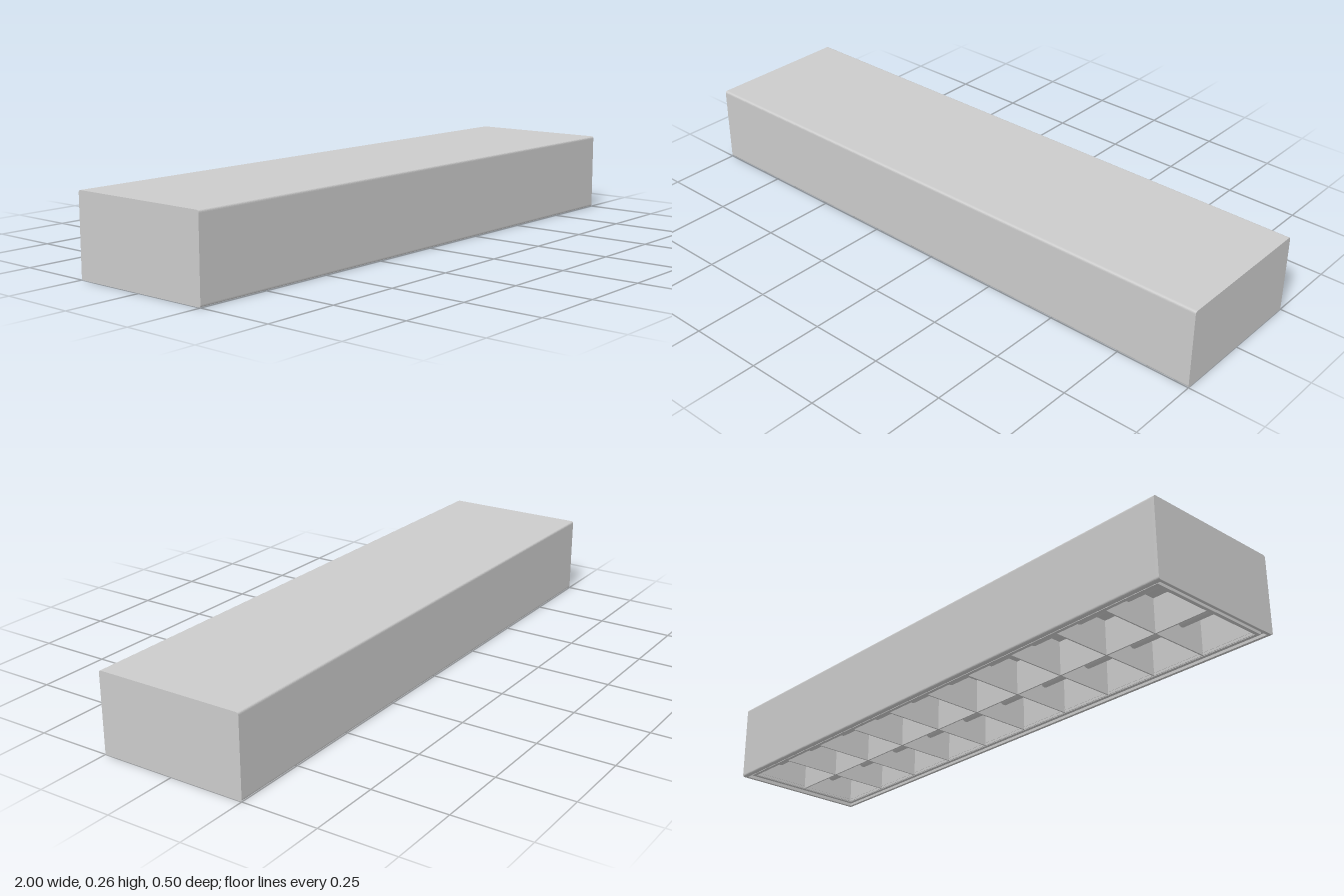
import * as THREE from 'three';

const L = 2, W = 0.5, H = 0.265;
const mat = new THREE.MeshStandardMaterial({ color: 0xcccccc, side: THREE.DoubleSide });

function add(parent, name, geometry, x = 0, y = 0, z = 0) {
  const mesh = new THREE.Mesh(geometry, mat);
  mesh.name = name;
  mesh.position.set(x, y, z);
  parent.add(mesh);
  return mesh;
}

const box = (parent, name, w, h, d, x, y, z) =>
  add(parent, name, new THREE.BoxGeometry(w, h, d), x, y, z);

// Housing section with rounded corners; the open version is a channel with small bottom lips
function section(open) {
  const a = W / 2, r = 0.008, t = 0.008, lip = 0.015;
  const s = new THREE.Shape();
  s.moveTo(open ? -a + lip : 0, 0);
  s.lineTo(-a + r, 0);
  s.quadraticCurveTo(-a, 0, -a, r);
  s.lineTo(-a, H - r);
  s.quadraticCurveTo(-a, H, -a + r, H);
  s.lineTo(a - r, H);
  s.quadraticCurveTo(a, H, a, H - r);
  s.lineTo(a, r);
  s.quadraticCurveTo(a, 0, a - r, 0);
  if (open) {
    s.lineTo(a - lip, 0);
    s.lineTo(a - lip, t);
    s.lineTo(a - t, t);
    s.lineTo(a - t, H - t);
    s.lineTo(-a + t, H - t);
    s.lineTo(-a + t, t);
    s.lineTo(-a + lip, t);
  }
  s.closePath();
  return s;
}

// Extrudes a section along x, centred on the origin
function alongX(shape, length) {
  const g = new THREE.ExtrudeGeometry(shape, { depth: length, bevelEnabled: false, curveSegments: 5 });
  return g.translate(0, 0, -length / 2).rotateY(Math.PI / 2);
}

// Flat rectangular ring lying in the xz plane, from y = 0 upward
function ring(x, z, border, height) {
  const rect = (Type, hx, hz) => new Type([
    new THREE.Vector2(-hx, -hz), new THREE.Vector2(hx, -hz),
    new THREE.Vector2(hx, hz), new THREE.Vector2(-hx, hz),
  ]);
  const s = rect(THREE.Shape, x, z);
  s.holes.push(rect(THREE.Path, x - border, z - border));
  return new THREE.ExtrudeGeometry(s, { depth: height, bevelEnabled: false })
    .rotateX(-Math.PI / 2);
}

export function createModel() {
  const model = new THREE.Group();
  model.name = 'louvreCeilingLight';

  // Housing: channel and end plates
  const housing = new THREE.Group();
  housing.name = 'housing';
  model.add(housing);
  const plate = 0.01;
  add(housing, 'housingShell', alongX(section(true), L - 2 * plate));
  for (const side of [-1, 1])
    add(housing, 'endPlate', alongX(section(false), plate), side * (L - plate) / 2);

  // Rim: recessed flange with a raised inner frame, leaving a groove around it
  add(model, 'rimFlange', ring(0.99, 0.242, 0.03, 0.006), 0, 0.014, 0);
  add(model, 'innerFrame', ring(0.975, 0.227, 0.012, 0.016), 0, 0.004, 0);

  // Louvre: side reflectors, centre divider and cross fins
  const louvre = new THREE.Group();
  louvre.name = 'louvre';
  model.add(louvre);
  const hx = 0.963, hz = 0.215, y0 = 0.006, h = 0.115, yc = y0 + h / 2;
  for (const side of [-1, 1]) {
    box(louvre, 'sideReflector', 2 * hx, h, 0.004, 0, yc, side * hz);
    box(louvre, 'endReflector', 0.004, h, 2 * hz, side * hx, yc, 0);
  }
  box(louvre, 'centreDivider', 2 * hx, h, 0.005, 0, yc, 0);
  const cells = 10;
  for (let i = 1; i < cells; i++)
    box(louvre, 'crossFin', 0.005, h, 2 * hz, -hx + (i * 2 * hx) / cells, yc, 0);

  // Lamp tubes, one per row of cells
  for (const side of [-1, 1]) {
    const tube = new THREE.CylinderGeometry(0.02, 0.02, 1.92, 20).rotateZ(Math.PI / 2);
    add(model, 'lampTube', tube, 0, 0.088, side * 0.12);
  }
  return model;
}
